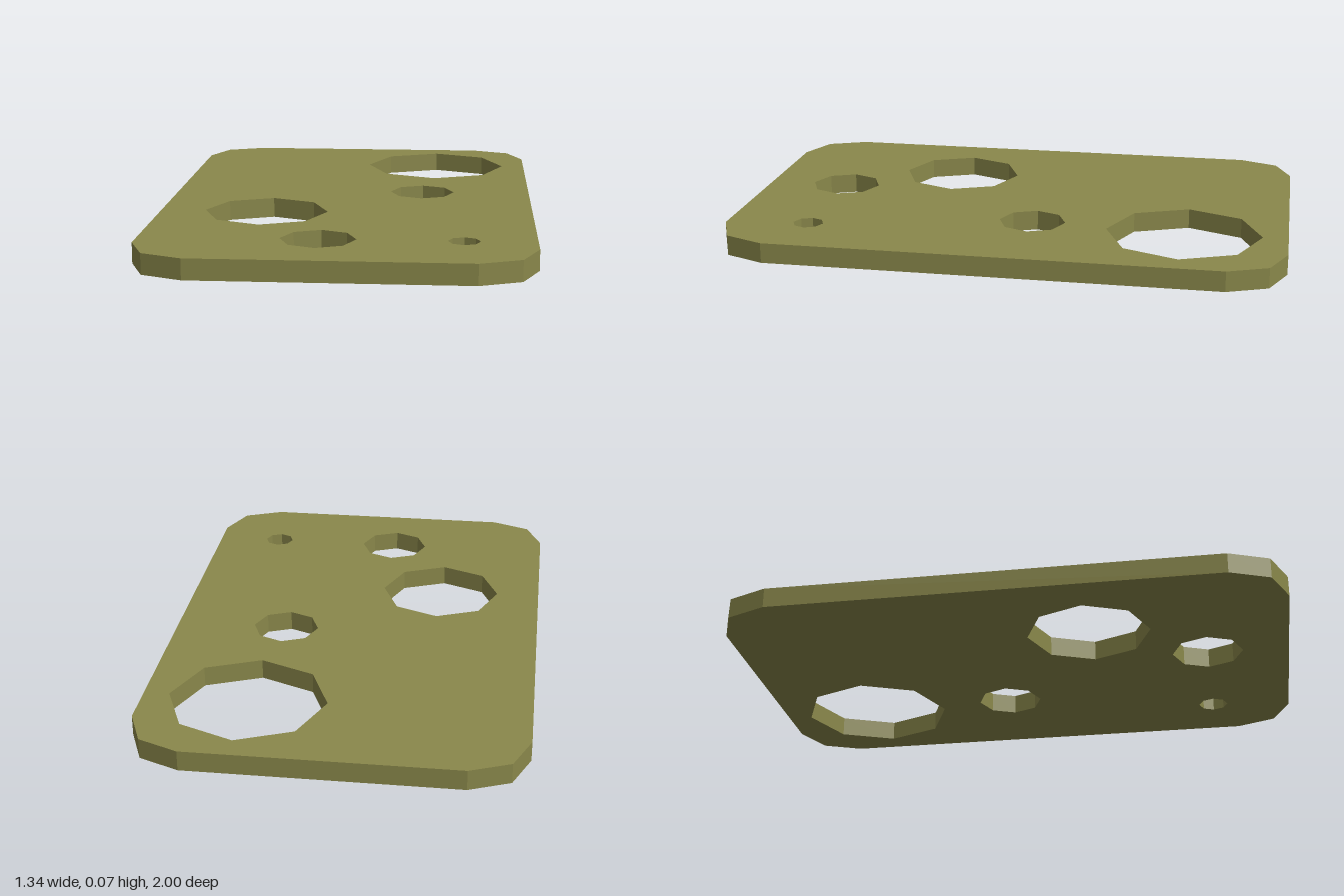
import * as THREE from 'three';

const HALF_WIDTH = 0.67, HALF_LENGTH = 1, CORNER = 0.2, THICKNESS = 0.072;

// Octagonal holes: x, z, radius
const HOLES = [
  [0.305, -0.635, 0.276],
  [0.264, -0.086, 0.12],
  [-0.288, 0.29, 0.222],
  [-0.062, 0.705, 0.129],
  [0.425, 0.705, 0.055],
];

// Points on an arc around (x, y), starting at angle `start`
function arc(x, y, radius, start, step, count) {
  return Array.from({ length: count }, (_, i) => new THREE.Vector2(
    x + radius * Math.cos(start + i * step),
    y + radius * Math.sin(start + i * step)));
}

export function createModel() {
  // Plate outline: each corner is cut with two facets
  const outline = [];
  [[1, 1], [-1, 1], [-1, -1], [1, -1]].forEach(([sx, sy], i) => {
    outline.push(...arc(sx * (HALF_WIDTH - CORNER), sy * (HALF_LENGTH - CORNER),
      CORNER, i * Math.PI / 2, Math.PI / 4, 3));
  });
  const shape = new THREE.Shape(outline);
  for (const [x, z, r] of HOLES) {
    shape.holes.push(new THREE.Path(arc(x, -z, r, 0, Math.PI / 4, 8)));
  }

  // Extrude upward and lay flat on the ground
  const geometry = new THREE.ExtrudeGeometry(shape, { depth: THICKNESS, bevelEnabled: false });
  geometry.rotateX(-Math.PI / 2);

  const plate = new THREE.Mesh(geometry,
    new THREE.MeshStandardMaterial({ color: 0x8a884b, flatShading: true }));
  plate.name = 'perforatedPlate';

  const model = new THREE.Group();
  model.name = 'plateWithHoles';
  model.add(plate);
  return model;
}
